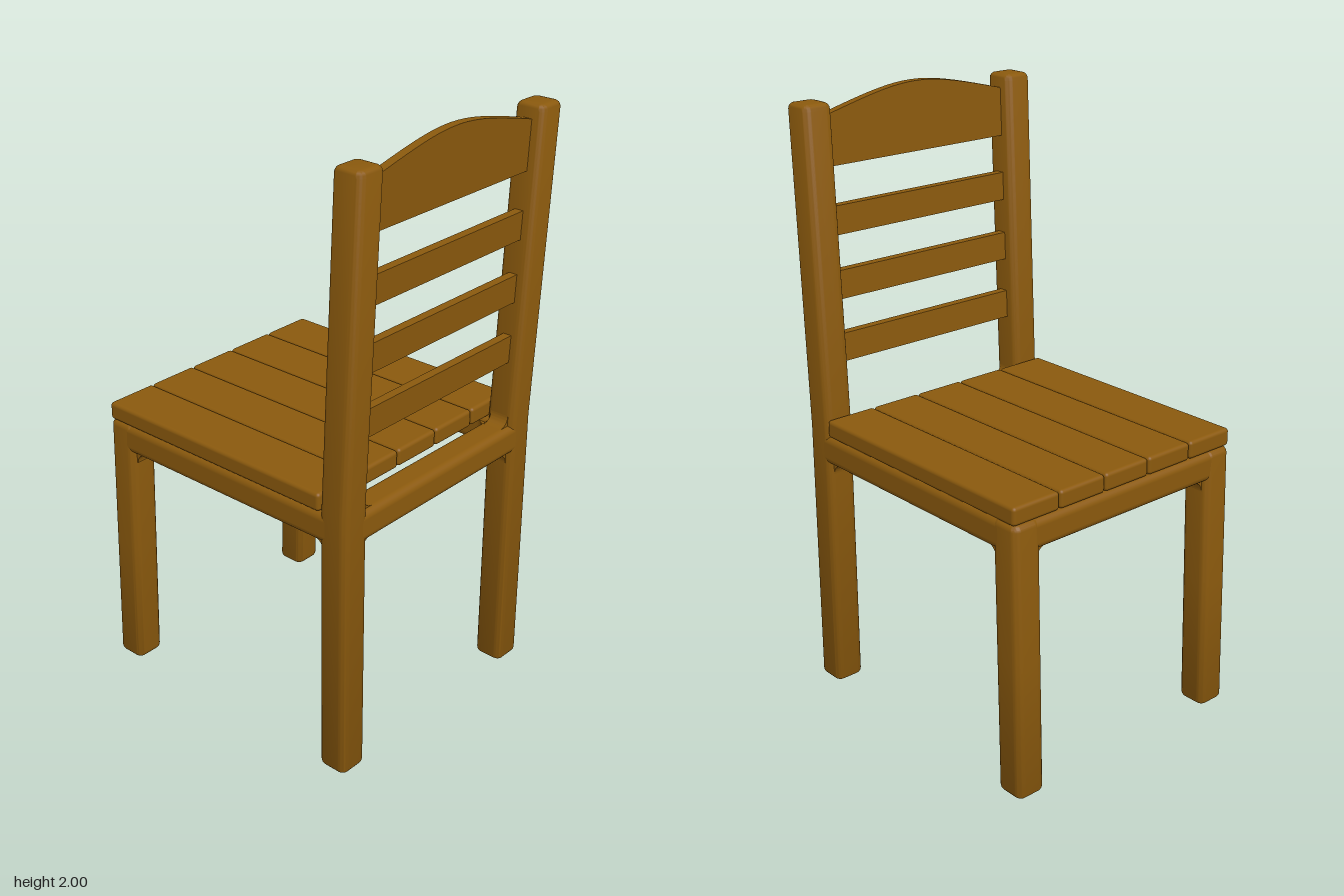
import * as THREE from 'three';
import { RoundedBoxGeometry } from 'three/addons/geometries/RoundedBoxGeometry.js';
import { toCreasedNormals } from 'three/addons/utils/BufferGeometryUtils.js';

const T = 0.105;          // thickness of posts
const POST_Z = 0.4075;    // centre of posts and side rails
const BACK_X = 0.4425, FRONT_X = -0.4675;
const RAIL_Y = 0.865, KINK_Y = 0.93;

// centre lines of the legs as a function of height
const backLine = y => BACK_X + Math.max(0, y - KINK_Y) * 0.0425;
const frontLine = y => -0.4925 + 0.0275 * y;

// shift every vertex in x so the part follows a centre line
function follow(geo, line) {
  const p = geo.attributes.position;
  for (let i = 0; i < p.count; i++) p.setX(i, p.getX(i) + line(p.getY(i)));
  return toCreasedNormals(geo, 0.7);
}

// square post with rounded edges and ends
function postGeometry(height, line) {
  const a = T / 2, r = 0.025, b = 0.02;
  const s = new THREE.Shape();
  s.moveTo(a, -a + r);
  s.absarc(a - r, a - r, r, 0, Math.PI / 2);
  s.absarc(-a + r, a - r, r, Math.PI / 2, Math.PI);
  s.absarc(-a + r, -a + r, r, Math.PI, Math.PI * 1.5);
  s.absarc(a - r, -a + r, r, Math.PI * 1.5, Math.PI * 2);
  const geo = new THREE.ExtrudeGeometry(s, {
    depth: height - 2 * b, steps: 2, curveSegments: 5,
    bevelThickness: b, bevelSize: b, bevelOffset: -b, bevelSegments: 4,
  });
  geo.translate(0, 0, b).rotateX(-Math.PI / 2);
  // the middle ring becomes the bend of the back legs
  const p = geo.attributes.position;
  if (height > 1) {
    for (let i = 0; i < p.count; i++) {
      if (Math.abs(p.getY(i) - height / 2) < 0.001) p.setY(i, KINK_Y);
    }
  }
  return follow(geo, line);
}

export function createModel() {
  const group = new THREE.Group();
  const wood = new THREE.MeshStandardMaterial({ color: 0x8a590d });
  wood.name = 'wood';

  function add(name, geo, x = 0, y = 0, z = 0) {
    const mesh = new THREE.Mesh(geo, wood);
    mesh.name = name;
    mesh.position.set(x, y, z);
    group.add(mesh);
    return mesh;
  }

  // concave corner filler spanning directions u and v
  const R = 0.035;
  const fs = new THREE.Shape();
  fs.moveTo(-0.01, -0.01);
  fs.lineTo(R, -0.01);
  fs.lineTo(R, 0);
  fs.absarc(R, R, R, Math.PI * 1.5, Math.PI, true);
  fs.lineTo(-0.01, R);
  const filletGeo = toCreasedNormals(new THREE.ExtrudeGeometry(fs, {
    depth: 0.066, curveSegments: 6, bevelEnabled: false,
  }).translate(0, 0, -0.033), 0.5);
  function fillet(pos, u, v) {
    const a = new THREE.Vector3(...u), b = new THREE.Vector3(...v);
    const mesh = add('cornerFillet', filletGeo, ...pos);
    mesh.quaternion.setFromRotationMatrix(
      new THREE.Matrix4().makeBasis(a, b, a.clone().cross(b)));
  }

  // legs, side rails and their rounded inner corners
  const backPost = postGeometry(1.98, backLine);
  const frontLeg = postGeometry(0.915, frontLine);
  const sideRail = new RoundedBoxGeometry(BACK_X - FRONT_X, 0.1, T, 4, 0.025);
  const inX = [FRONT_X + T / 2, BACK_X - T / 2], inZ = POST_Z - T / 2;
  const top = RAIL_Y + 0.05, bottom = RAIL_Y - 0.05;
  for (const s of [-1, 1]) {
    add('backPost', backPost, 0, 0, s * POST_Z);
    add('frontLeg', frontLeg, 0, 0, s * POST_Z);
    add('sideRail', sideRail, (FRONT_X + BACK_X) / 2, RAIL_Y, s * POST_Z);
    [FRONT_X, BACK_X].forEach((x, i) => {
      const dir = i ? -1 : 1;
      fillet([inX[i], bottom, s * POST_Z], [dir, 0, 0], [0, -1, 0]);
      fillet([x, bottom, s * inZ], [0, 0, -s], [0, -1, 0]);
      fillet([inX[i], RAIL_Y, s * inZ], [dir, 0, 0], [0, 0, -s]);
    });
    fillet([BACK_X, top, s * inZ], [0, 0, -s], [0, 1, 0]);
  }

  // front and back rails
  const crossRail = new RoundedBoxGeometry(T, 0.1, 2 * POST_Z, 4, 0.025);
  add('frontRail', crossRail, FRONT_X, RAIL_Y, 0);
  add('backRail', crossRail, BACK_X, RAIL_Y, 0);

  // seat boards
  const board = new RoundedBoxGeometry(0.905, 0.06, 0.182, 3, 0.012);
  for (let i = -2; i <= 2; i++) add('seatBoard', board, -0.0625, 0.945, i * 0.1845);

  // back slats, leaning with the posts
  for (const y of [1.185, 1.393, 1.602]) {
    const geo = new THREE.BoxGeometry(0.03, 0.094, 0.74).translate(0, y, 0);
    add('backSlat', follow(geo, backLine));
  }

  // arched top slat
  const w = 0.37;
  const arch = new THREE.Shape();
  arch.moveTo(-w, 1.775);
  arch.lineTo(w, 1.775);
  arch.lineTo(w, 1.932);
  arch.bezierCurveTo(0.2, 1.975, 0.1, 2, 0, 2);
  arch.bezierCurveTo(-0.1, 2, -0.2, 1.975, -w, 1.932);
  const archGeo = new THREE.ExtrudeGeometry(arch, {
    depth: 0.03, curveSegments: 10, bevelEnabled: false,
  });
  archGeo.translate(0, 0, -0.015).rotateY(Math.PI / 2);
  add('topSlat', follow(archGeo, backLine));

  return group;
}
